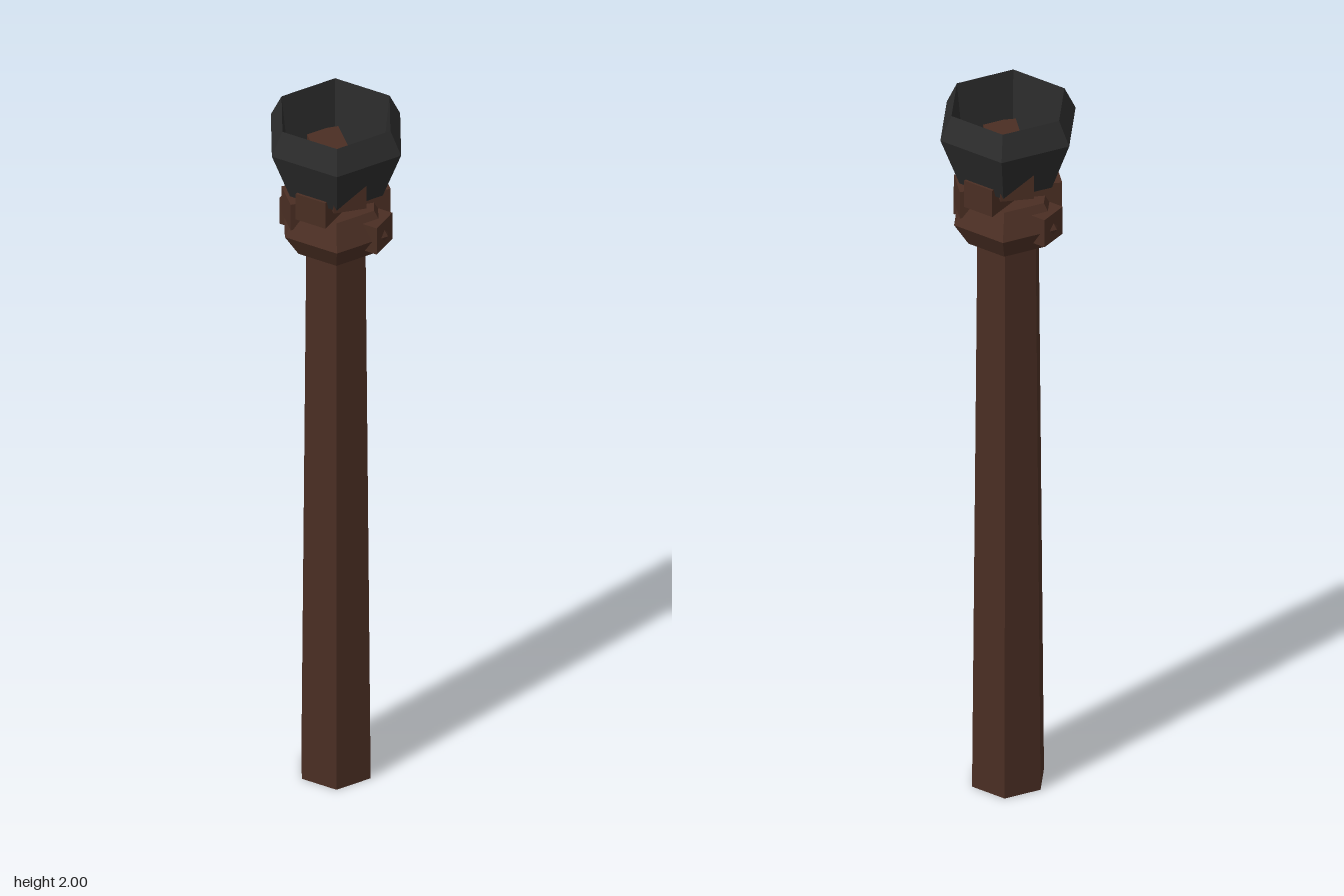
import * as THREE from 'three';

export function createModel() {
  const model = new THREE.Group();
  const wood = new THREE.MeshStandardMaterial({ color: 0x4a2e23, flatShading: true });
  wood.name = 'dark wood';
  const iron = new THREE.MeshStandardMaterial({ color: 0x2b2b2b, flatShading: true });
  iron.name = 'black iron';

  function add(name, geometry, material, y = 0, turn = 0) {
    const mesh = new THREE.Mesh(geometry, material);
    mesh.name = name;
    mesh.position.y = y;
    mesh.rotation.y = turn;
    model.add(mesh);
    return mesh;
  }

  // Six-sided turned part with corners on the x axis
  function hexLathe(profile) {
    const points = profile.map(([r, y]) => new THREE.Vector2(r, y));
    return new THREE.LatheGeometry(points, 6).rotateY(Math.PI / 6);
  }

  // Tapered handle
  add('handle', hexLathe([[0, 0], [0.1, 0], [0.085, 1.65], [0, 1.65]]), wood);

  // Bulging collar, and the peg that runs through it
  add('collar', hexLathe([[0, 1.61], [0.11, 1.61], [0.15, 1.675], [0.11, 1.74], [0, 1.74]]), wood);
  add('collarPeg', new THREE.BoxGeometry(0.28, 0.08, 0.08), wood, 1.68);

  // Three crossed bars, stacked to hold the bowl
  const bars = [
    ['lowerBar', 1.735, -Math.PI / 4],
    ['middleBar', 1.78, 0],
    ['upperBar', 1.828, Math.PI / 4],
  ];
  for (const [name, y, turn] of bars) {
    add(name, new THREE.BoxGeometry(0.086, 0.078, 0.262), wood, y, turn);
  }

  // Open iron bowl: outer wall, sloped rim, inner wall
  add('bowl', hexLathe([[0.135, 1.795], [0.188, 1.935], [0.157, 2], [0.135, 1.795]]), iron);

  return model;
}
